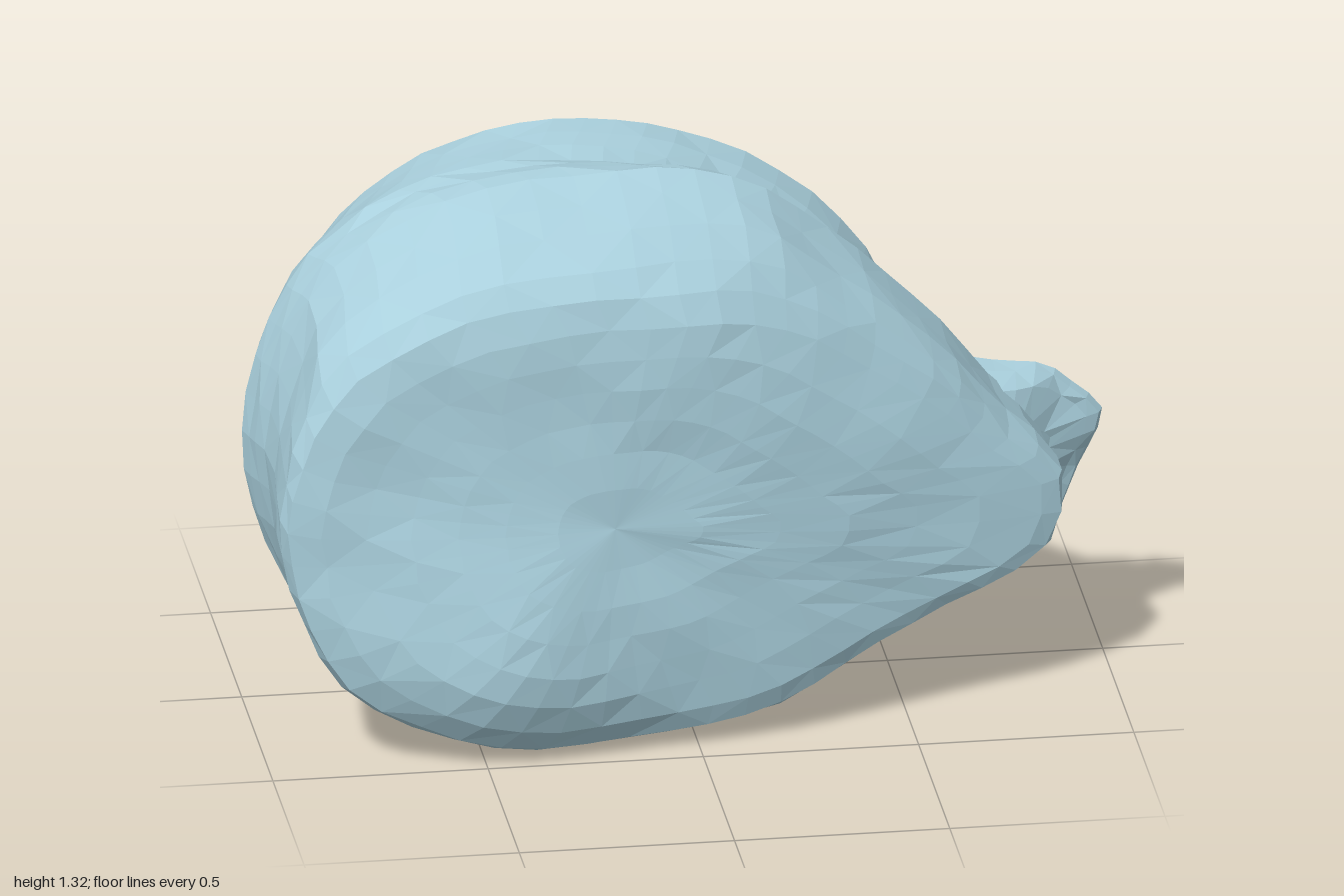
import * as THREE from 'three';

const SEG = 52;

// Pear outline of the flat front half, counter-clockwise from the narrow end
const PEAR = [
  [0.87, 0.6], [0.73, 0.75], [0.57, 0.93], [0.35, 1.12], [0.14, 1.27], [0, 1.315], [-0.35, 1.32],
  [-0.57, 1.29], [-0.78, 1.18], [-0.89, 1.07], [-0.97, 0.85], [-1, 0.68], [-0.98, 0.5],
  [-0.93, 0.33], [-0.85, 0.19], [-0.65, 0.06], [-0.45, 0.01], [-0.2, 0.02], [0, 0.04],
  [0.15, 0.08], [0.4, 0.22], [0.62, 0.32], [0.78, 0.38], [0.86, 0.45],
];

// Pointed outline of the lip beyond the narrow end
const LIP = [
  [1, 0.6], [0.94, 0.66], [0.87, 0.715], [0.77, 0.73], [0.64, 0.74], [0.52, 0.62], [0.5, 0.48],
  [0.55, 0.36], [0.66, 0.3], [0.8, 0.29], [0.89, 0.34], [0.94, 0.45],
];

// Body cross-sections from back to front: z, pear amount, xMin, xMax, yMin, yMax
const SECTIONS = [
  [-0.575, 0, -0.12, -0.12, 0.65, 0.65],
  [-0.565, 0, -0.22, -0.03, 0.57, 0.73],
  [-0.54, 0, -0.36, 0.05, 0.46, 0.83],
  [-0.5, 0, -0.51, 0.15, 0.38, 0.95],
  [-0.45, 0, -0.61, 0.28, 0.28, 1.05],
  [-0.4, 0, -0.69, 0.39, 0.22, 1.12],
  [-0.33, 0.03, -0.79, 0.48, 0.15, 1.2],
  [-0.25, 0.06, -0.87, 0.55, 0.11, 1.28],
  [-0.19, 0.1, -0.91, 0.56, 0.085, 1.32],
  [-0.12, 0.15, -0.95, 0.55, 0.06, 1.315],
  [-0.06, 0.25, -0.98, 0.53, 0.025, 1.31],
  [0, 0.45, -1, 0.53, 0.01, 1.305],
  [0.04, 0.7, -0.99, 0.67, 0.005, 1.305],
  [0.08, 0.95, -0.98, 0.8, 0.005, 1.31],
  [0.13, 1, -0.965, 0.85, 0.005, 1.31],
  [0.22, 1, -0.955, 0.85, 0.005, 1.275],
  [0.31, 1, -0.965, 0.87, 0.005, 1.235],
  [0.39, 1, -0.97, 0.875, 0.015, 1.175],
  [0.43, 1, -0.955, 0.865, 0.035, 1.12],
  [0.45, 1, -0.88, 0.82, 0.09, 1.05],
];

const wobble = (a, b, c) => Math.sin(a * 13 + b * 7) * Math.sin(b * 17 - c * 9) * Math.cos(c * 15 + a * 5);
const { lerp, smoothstep } = THREE.MathUtils;
const bell = (t) => Math.exp(-t * t);

function sampleOutline(points, count) {
  const curve = new THREE.CatmullRomCurve3(
    points.map(([x, y]) => new THREE.Vector3(x, y, 0)), true, 'centripetal');
  return curve.getSpacedPoints(count).slice(0, count);
}

// Closed skin through rings of equal point count, ordered back to front
function loft(rings) {
  const n = rings[0].length, index = [];
  for (let i = 1; i < rings.length; i++) {
    for (let j = 0; j < n; j++) {
      const r = (i - 1) * n, q = i * n, k = (j + 1) % n;
      if ((i + j) % 2) index.push(r + j, r + k, q + k, r + j, q + k, q + j);
      else index.push(r + j, r + k, q + j, r + k, q + k, q + j);
    }
  }
  const g = new THREE.BufferGeometry();
  g.setAttribute('position', new THREE.Float32BufferAttribute(rings.flat(2), 3));
  g.setIndex(index);
  g.computeVertexNormals();
  return g;
}

function bodyGeometry() {
  // Normalised pear: each direction reaches 1 at its own extreme
  const unit = sampleOutline(PEAR, SEG).map((p) => {
    const x = p.x + 0.2, y = p.y - 0.66;
    return [x / (x < 0 ? 0.8 : 1.07), y / (y < 0 ? 0.65 : 0.66)];
  });

  // Front cap: shrinking copies of the last section
  const sections = [...SECTIONS];
  const [, , x0, x1, y0, y1] = SECTIONS[SECTIONS.length - 1];
  const cx = -0.2, cy = 0.57;
  for (const s of [0.85, 0.7, 0.54, 0.38, 0.2, 0]) {
    sections.push([0.455, 1, cx + (x0 - cx) * s, cx + (x1 - cx) * s, cy + (y0 - cy) * s, cy + (y1 - cy) * s]);
  }

  return loft(sections.map(([z, w, xa, xb, ya, yb]) => {
    const mx = xa + (xb - xa) * 0.46, my = (ya + yb) / 2;
    return unit.map((p) => {
      const a = Math.atan2(p[1], p[0]);
      const u = lerp(Math.cos(a), p[0], w);
      const v = lerp(Math.sin(a), p[1], w);
      // Groove between the domed back and the front half, with a softer valley below
      const groove = 0.09 * bell((z - 0.01) / 0.065) * Math.max(0, Math.cos(a - 0.5)) ** 4;
      const valley = 0.05 * bell((z - 0.02) / 0.1) * Math.max(0, Math.cos(a + 0.65)) ** 3;
      const k = 1 - groove - valley + 0.01 * wobble(u, v, z * 3);
      const x = mx + u * k * (u < 0 ? mx - xa : xb - mx);
      const y = my + v * k * (v < 0 ? my - ya : yb - my);
      let zz = z;
      // Front half thins toward the narrow end and its upper shoulder, and swells low on the front
      if (z > 0.1) {
        const narrow = 1 - 0.55 * (Math.max(0, x) / 0.87) ** 1.6;
        const shoulder = 1 - 0.28 * smoothstep(0.64 * x + 0.77 * y, 0.72, 1.1);
        zz = 0.1 + (z - 0.1) * narrow * shoulder;
      }
      if (z > 0.35) {
        zz += 0.115 * bell((x + 0.45) / (x < -0.45 ? 0.34 : 0.3)) * bell((y - 0.24) / (y > 0.24 ? 0.32 : 0.22));
      }
      // Groove slants backward toward the narrow end
      zz -= 0.09 * smoothstep(x, 0, 0.75) * bell((z - 0.04) / 0.1);
      return [x, y, zz + 0.008 * wobble(x, y, z)];
    });
  }));
}

function lipGeometry() {
  const outline = sampleOutline(LIP, 30);
  const profile = [[-1, 0], [-0.95, 0.4], [-0.75, 0.75], [-0.3, 0.95], [0, 1], [0.3, 0.96], [0.7, 0.85], [0.9, 0.5], [1, 0]];
  return loft(profile.map(([d, s]) => outline.map((p) => {
    const x = 0.74 + (p.x - 0.74) * s, y = 0.52 + (p.y - 0.52) * s;
    // Thin at the tip, thick where it joins the body
    const t = smoothstep(x, 0.72, 0.94);
    const depth = d < 0 ? 0.075 - 0.04 * t : 0.17 - 0.13 * t;
    return [x, y, -0.012 + d * depth + 0.012 * wobble(x, y, d)];
  })));
}

export function createModel() {
  const group = new THREE.Group();
  group.name = 'shell';
  const material = new THREE.MeshStandardMaterial({ color: 0xa9cfdc, flatShading: true });
  const add = (name, geometry) => {
    const mesh = new THREE.Mesh(geometry, material);
    mesh.name = name;
    group.add(mesh);
  };
  add('body', bodyGeometry());
  add('lip', lipGeometry());
  return group;
}
